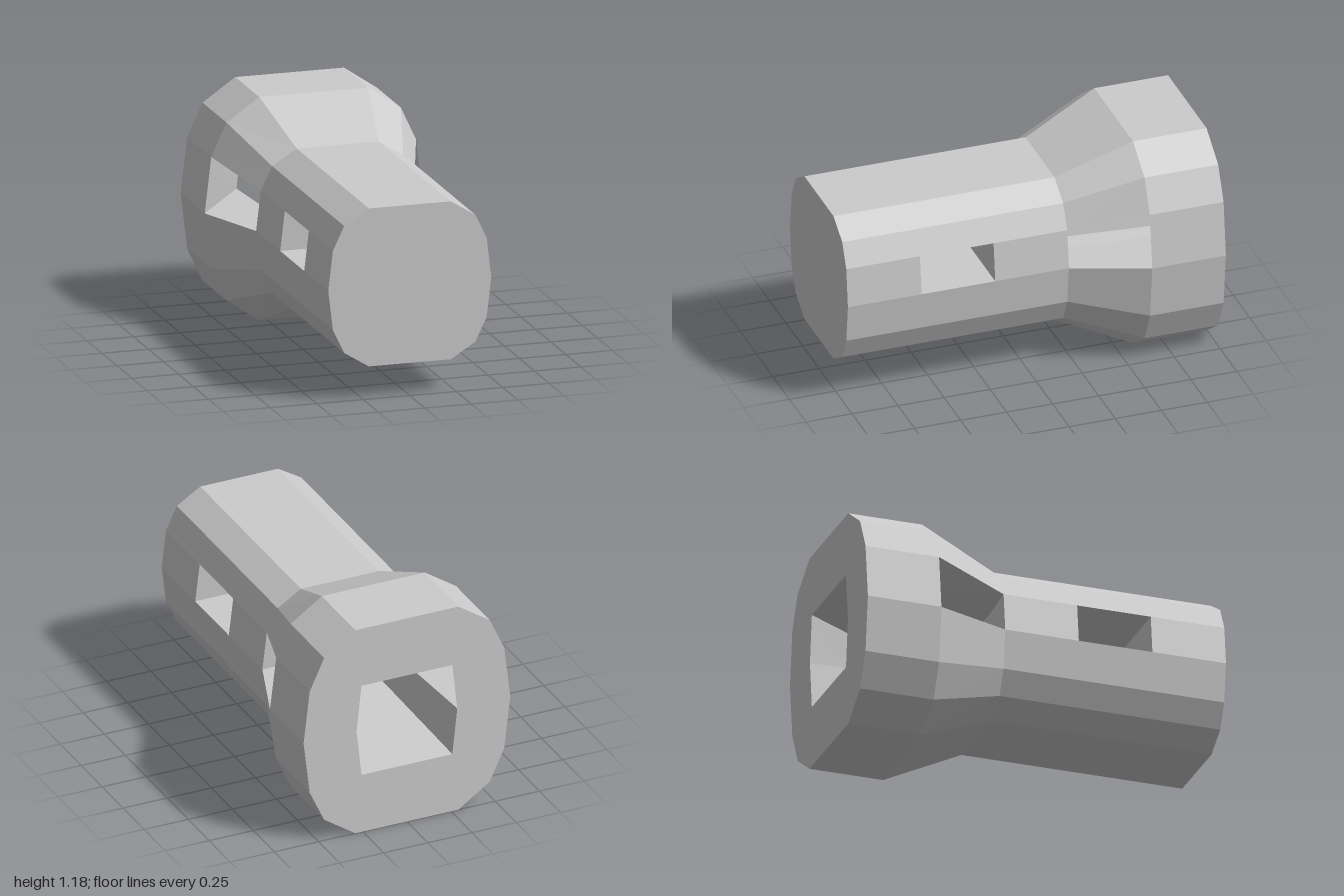
import * as THREE from 'three';

const MID = 0.5925; // height of the long axis

// Symmetric ring, counter-clockwise from the front, starting at the +x mid point.
function ring(quarter, z) {
  const upper = [...quarter, ...quarter.slice().reverse().map(([x, y]) => [-x, y])];
  const pts = upper.filter(([, y], i) => !(y === 0 && i > 0 && i < upper.length - 1));
  const lower = pts.slice(1, -1).reverse().map(([x, y]) => [x, -y]);
  return [...pts, ...lower].map(([x, y]) => new THREE.Vector3(x, y + MID, z));
}

const HEAD = [[0.585, 0], [0.55, 0.296], [0.468, 0.472], [0.292, 0.5925]];
const TUBE = [[0.438, 0], [0.413, 0.21], [0.352, 0.337], [0.22, 0.419]];

// Corners of one side panel, counter-clockwise from outside.
function panel(near, far, i) {
  const j = (i + 1) % near.length;
  return [near[i], far[i], far[j], near[j]];
}

function quadMesh(name, quads, material) {
  const pos = [];
  for (const [a, b, c, d] of quads)
    for (const p of [a, b, c, a, c, d]) pos.push(p.x, p.y, p.z);
  const geo = new THREE.BufferGeometry();
  geo.setAttribute('position', new THREE.Float32BufferAttribute(pos, 3));
  geo.computeVertexNormals();
  const mesh = new THREE.Mesh(geo, material);
  mesh.name = name;
  return mesh;
}

// Panels around a pair of rings, leaving out the given sides.
function band(near, far, skip = []) {
  return near.map((_, i) => i).filter(i => !skip.includes(i)).map(i => panel(near, far, i));
}

// Walls joining an opening on the outside to one further in.
function reveal(outer, inner) {
  return outer.map((p, k) => {
    const n = (k + 1) % 4;
    return [p, outer[n], inner[n], inner[k]];
  });
}

function plate(name, outline, z, faceBack, material, hole) {
  const flat = pts => pts.map(p => new THREE.Vector2(p.x, p.y));
  const shape = new THREE.Shape(flat(outline));
  if (hole) shape.holes.push(new THREE.Path(flat(hole)));
  const geo = new THREE.ShapeGeometry(shape);
  if (faceBack) geo.rotateY(Math.PI);
  geo.translate(0, 0, z);
  const mesh = new THREE.Mesh(geo, material);
  mesh.name = name;
  return mesh;
}

export function createModel() {
  const group = new THREE.Group();
  group.name = 'flaredTube';
  const mat = new THREE.MeshStandardMaterial({
    color: 0xcccccc, flatShading: true, side: THREE.DoubleSide,
  });

  // Outer rings, front to back
  const [t0, t1, t2, t3] = [1, 0.6, 0.2, -0.2].map(z => ring(TUBE, z));
  const [h0, h1] = [-0.6, -1].map(z => ring(HEAD, z));
  const windows = [0, 6]; // upper side panels, left and right

  group.add(quadMesh('tube', [
    ...band(t0, t1), ...band(t1, t2, windows), ...band(t2, t3),
  ], mat));
  group.add(quadMesh('flare', band(t3, h0, windows), mat));
  group.add(quadMesh('head', band(h0, h1), mat));

  // Straight slot through the tube
  group.add(quadMesh('crossSlot', reveal(
    panel(t1, t2, 0), [t1[7], t2[7], t2[6], t1[6]]), mat));

  // Tapered six-sided bore, open at the back and into the flare windows
  const boreEnd = ring([[0.235, 0], [0.213, 0.19]], -0.2);
  const boreMouth = ring([[0.285, 0], [0.257, 0.26]], -1);
  group.add(quadMesh('bore',
    band(boreEnd, boreMouth, [0, 2]).map(q => q.slice().reverse()), mat));
  [[0, 0], [6, 2]].forEach(([o, b]) => group.add(quadMesh('flareWindow',
    reveal(panel(t3, h0, o), panel(boreEnd, boreMouth, b)), mat)));

  // End faces
  group.add(plate('frontCap', t0, 1, false, mat));
  group.add(plate('backFace', h1, -1, true, mat, boreMouth));
  group.add(plate('boreFloor', boreEnd, -0.2, true, mat));
  return group;
}
